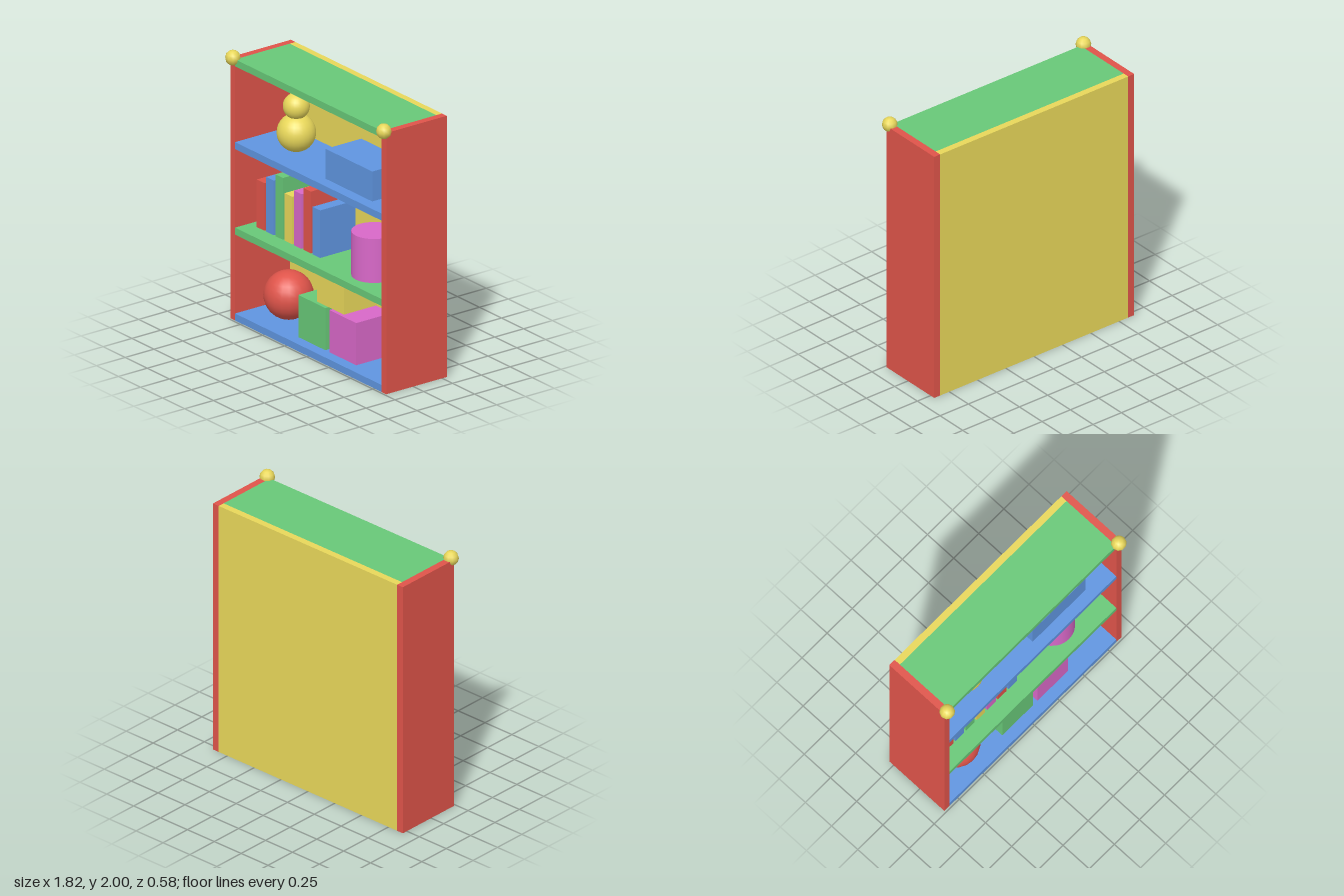
import * as THREE from 'three';

const material = (color) => new THREE.MeshStandardMaterial({ color });
const red = material(0xdf544a);
const blue = material(0x5f95e0);
const green = material(0x68c878);
const yellow = material(0xe8d75a);
const pink = material(0xd868c8);

export function createModel() {
  const model = new THREE.Group();

  const add = (name, geometry, mat, x, y, z) => {
    const mesh = new THREE.Mesh(geometry, mat);
    mesh.name = name;
    mesh.position.set(x, y, z);
    model.add(mesh);
    return mesh;
  };
  // Box given by its extents on each axis
  const box = (name, mat, [x0, x1], [y0, y1], [z0, z1]) =>
    add(name, new THREE.BoxGeometry(x1 - x0, y1 - y0, z1 - z0), mat,
      (x0 + x1) / 2, (y0 + y1) / 2, (z0 + z1) / 2);
  const ball = (name, mat, r, x, y, z, w, h) =>
    add(name, new THREE.SphereGeometry(r, w, h), mat, x, y, z);

  // Case: side panels with corner knobs, back panel and boards
  const height = 1.94, back = -0.29, front = 0.235;
  for (const [side, s] of [['left', 1], ['right', -1]]) {
    const panel = box(side + 'Panel', red, [0.83, 0.883], [0, height], [back, front]);
    panel.position.x *= s;
    ball(side + 'Knob', yellow, 0.055, s * 0.855, 1.945, front, 10, 6);
  }
  box('backPanel', yellow, [-0.83, 0.83], [0, height], [back, -0.24]);
  [['bottomBoard', blue, 0], ['lowerShelf', green, 0.638], ['upperShelf', blue, 1.273], ['topBoard', green, 1.888]]
    .forEach(([name, mat, y]) => box(name, mat, [-0.83, 0.83], [y, y + 0.052], [-0.24, front]));

  // Bottom compartment: ball and stacked blocks
  ball('toyBall', red, 0.175, -0.53, 0.232, 0, 20, 14);
  box('greenBlock', green, [-0.22, 0.085], [0.052, 0.365], [-0.153, 0.153]);
  box('pinkBlock', pink, [0.13, 0.435], [0.052, 0.365], [-0.153, 0.153]);
  box('topBlock', yellow, [-0.048, 0.26], [0.365, 0.67], [-0.16, 0.125]);

  // Middle compartment: row of books and a canister
  [red, blue, green, yellow, pink, red, blue].forEach((mat, i) => {
    const x = -0.705 + i * 0.1055;
    box('book' + (i + 1), mat, [x - 0.043, x + 0.043],
      [0.69, 1.043 + (i % 3) * 0.053], [-0.195, 0.11]);
  });
  add('canister', new THREE.CylinderGeometry(0.158, 0.158, 0.327, 28), pink, 0.438, 0.853, 0);

  // Upper compartment: two-ball figure and a storage box
  ball('figureBody', yellow, 0.137, -0.443, 1.465, 0, 24, 16);
  ball('figureHead', yellow, 0.094, -0.443, 1.66, 0, 24, 16);
  box('storageBox', blue, [0.085, 0.613], [1.325, 1.547], [-0.16, 0.15]);

  return model;
}
